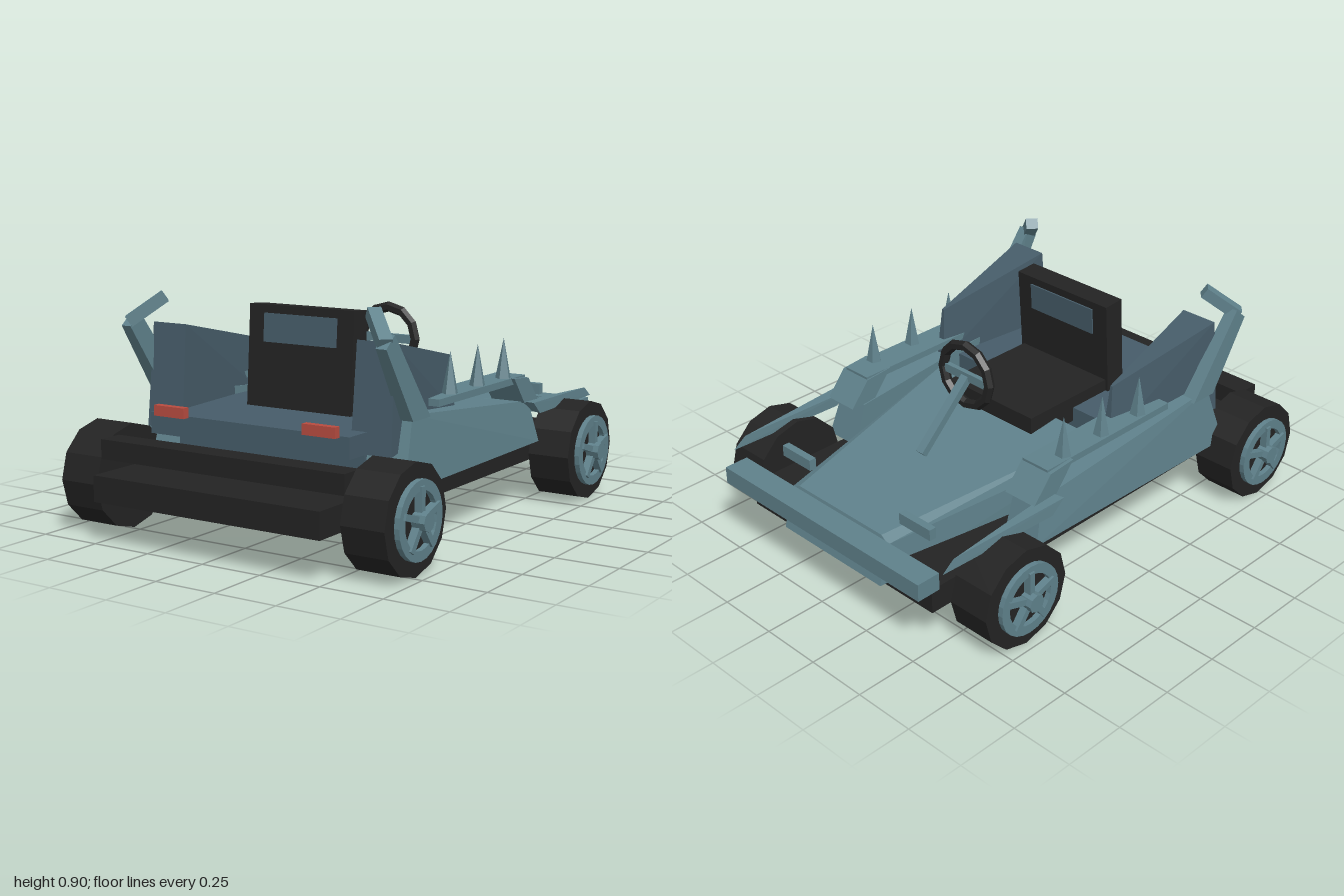
import * as THREE from 'three';
import { ConvexGeometry } from 'three/addons/geometries/ConvexGeometry.js';

const mat = (name, color) => {
  const m = new THREE.MeshStandardMaterial({ color, flatShading: true });
  m.name = name;
  return m;
};

export function createModel() {
  const kart = new THREE.Group();
  kart.name = 'kart';
  const teal = mat('teal metal', 0x5f818b);
  const slate = mat('slate blue', 0x465c69);
  const black = mat('black', 0x232323);
  const red = mat('red', 0xb84c40);

  const add = (name, geo, material, parent = kart) => {
    const m = new THREE.Mesh(geo, material);
    m.name = name;
    parent.add(m);
    return m;
  };
  // box given by its min and max on each axis
  const box = (name, material, x0, x1, y0, y1, z0, z1, parent = kart) => {
    const m = add(name, new THREE.BoxGeometry(x1 - x0, y1 - y0, z1 - z0), material, parent);
    m.position.set((x0 + x1) / 2, (y0 + y1) / 2, (z0 + z1) / 2);
    return m;
  };
  // flat-faced solid around corner points; s mirrors it in x
  const solid = (name, material, pts, s = 1) =>
    add(name, new ConvexGeometry(pts.map(p => new THREE.Vector3(p[0] * s, p[1], p[2]))), material);
  // bar between two points
  const bar = (name, material, a, b, w, d) => {
    const p = new THREE.Vector3(...a), q = new THREE.Vector3(...b);
    const m = add(name, new THREE.BoxGeometry(w, d, p.distanceTo(q)), material);
    m.position.copy(p).lerp(q, 0.5);
    m.lookAt(q);
    return m;
  };

  // Floor, bumpers and rear deck
  box('chassis', black, -0.5, 0.5, 0.16, 0.26, -0.9, 1);
  box('rearBumper', black, -0.54, 0.54, 0.3, 0.375, 0.81, 0.91);
  box('frontBumper', teal, -0.54, 0.54, 0.285, 0.355, -1, -0.9);
  box('deckBase', teal, -0.43, 0.43, 0.26, 0.29, 0.13, 0.72);
  box('rearDeck', slate, -0.445, 0.445, 0.38, 0.46, 0.13, 0.735);
  box('deckSupport', slate, -0.42, 0.42, 0.27, 0.39, 0.13, 0.6);

  // Tapered hood with sloped nose
  const hood = [];
  for (const s of [-1, 1]) {
    hood.push([s * 0.23, 0.36, -0.89], [s * 0.41, 0.455, 0.03], [s * 0.27, 0.34, -0.895],
      [s * 0.27, 0.18, -0.94], [s * 0.43, 0.26, 0.06], [s * 0.43, 0.4, 0.05]);
  }
  solid('hood', teal, hood);

  // Seat
  box('seatCushion', black, -0.225, 0.225, 0.4, 0.51, -0.11, 0.33);
  const back = new THREE.Group();
  back.name = 'seatBack';
  back.position.set(0, 0.65, 0.355);
  back.rotation.x = -0.07;
  kart.add(back);
  box('backrest', black, -0.237, 0.237, -0.2, 0.197, -0.045, 0.045, back);
  for (const s of [-1, 1])
    box('headrestPanel', slate, -0.165, 0.165, 0.055, 0.165, s * 0.047 - 0.004, s * 0.047 + 0.004, back);

  // Steering wheel and column
  const steering = add('steeringWheel', new THREE.TorusGeometry(0.125, 0.021, 6, 12), black);
  steering.position.set(0, 0.665, -0.235);
  box('steeringCrossbar', teal, -0.12, 0.12, 0.645, 0.68, -0.245, -0.225);
  bar('steeringColumn', teal, [0, 0.42, -0.48], [0, 0.66, -0.23], 0.036, 0.03);

  for (const s of [-1, 1]) {
    const mirrorBox = (name, m, x0, x1, ...r) =>
      s > 0 ? box(name, m, x0, x1, ...r) : box(name, m, -x1, -x0, ...r);

    // Side pod, its front brace and pointed blade
    solid('sidePod', teal, [
      [0.42, 0.26, 0.62], [0.6, 0.26, 0.62], [0.42, 0.52, 0.53], [0.575, 0.52, 0.53],
      [0.42, 0.43, -0.4], [0.555, 0.43, -0.4], [0.42, 0.26, -0.45], [0.58, 0.26, -0.45]], s);
    solid('podBrace', teal, [0.425, 0.57].flatMap(x => [
      [x, 0.54, -0.25], [x, 0.53, -0.37], [x, 0.43, -0.455], [x, 0.43, -0.34]]), s);
    solid('frontBlade', teal, [
      [0.555, 0.385, -0.43], [0.61, 0.385, -0.4], [0.55, 0.435, -0.35], [0.61, 0.435, -0.34],
      [0.582, 0.42, -0.87], [0.583, 0.38, -0.925]], s);

    // Spiked shelf
    mirrorBox('spikeShelf', teal, 0.43, 0.555, 0.513, 0.54, -0.37, 0.31);
    for (const z of [-0.25, -0.04, 0.17])
      add('spike', new THREE.ConeGeometry(0.033, 0.165, 5), teal).position.set(s * 0.52, 0.617, z);

    // Rear wedge fin
    solid('rearFin', slate, [
      [0.38, 0.38, 0.63], [0.55, 0.38, 0.63], [0.385, 0.78, 0.595], [0.54, 0.78, 0.595],
      [0.455, 0.67, 0.08], [0.465, 0.67, 0.08], [0.44, 0.45, 0.06], [0.48, 0.45, 0.06]], s);

    // Bent horn behind the fin
    solid('hornBase', teal, [
      [0.53, 0.5, 0.43], [0.59, 0.5, 0.43], [0.53, 0.5, 0.55], [0.59, 0.5, 0.55],
      [0.54, 0.82, 0.67], [0.588, 0.82, 0.67], [0.545, 0.775, 0.725], [0.588, 0.775, 0.725]], s);
    bar('hornTip', teal, [s * 0.57, 0.79, 0.705], [s * 0.465, 0.885, 0.615], 0.05, 0.045);

    // Lamps
    mirrorBox('tailLight', red, 0.265, 0.405, 0.455, 0.495, 0.735, 0.765);
    mirrorBox('headLamp', teal, 0.25, 0.41, 0.385, 0.43, -0.82, -0.79);

    // Wheels: tyre, axle, ring, five spokes, hub
    for (const z of [0.735, -0.645]) {
      const wheel = new THREE.Group();
      wheel.name = z > 0 ? 'rearWheel' : 'frontWheel';
      wheel.position.set(s * 0.54, 0.205, z);
      wheel.rotation.y = s * Math.PI / 2; // local +z points outward
      kart.add(wheel);
      const disc = (name, m, r, z0, z1, n) => {
        const g = new THREE.CylinderGeometry(r, r, z1 - z0, n).rotateX(Math.PI / 2);
        add(name, g, m, wheel).position.z = (z0 + z1) / 2;
      };
      disc('tyre', black, 0.203, 0, 0.175, 12);
      disc('axle', teal, 0.022, -0.1, 0.01, 8);
      disc('hub', teal, 0.036, 0.17, 0.228, 8);
      const ring = new THREE.Shape().absarc(0, 0, 0.143, 0, Math.PI * 2);
      ring.holes.push(new THREE.Path().absarc(0, 0, 0.105, 0, Math.PI * 2, true));
      const ringGeo = new THREE.ExtrudeGeometry(ring, { depth: 0.022, bevelEnabled: false, curveSegments: 12 });
      add('rimRing', ringGeo, teal, wheel).position.z = 0.174;
      for (let i = 0; i < 5; i++) {
        const spoke = new THREE.BoxGeometry(0.024, 0.1, 0.03).translate(0, 0.07, 0.19);
        add('spoke', spoke.rotateZ(i * Math.PI * 0.4), teal, wheel);
      }
    }
  }
  return kart;
}
